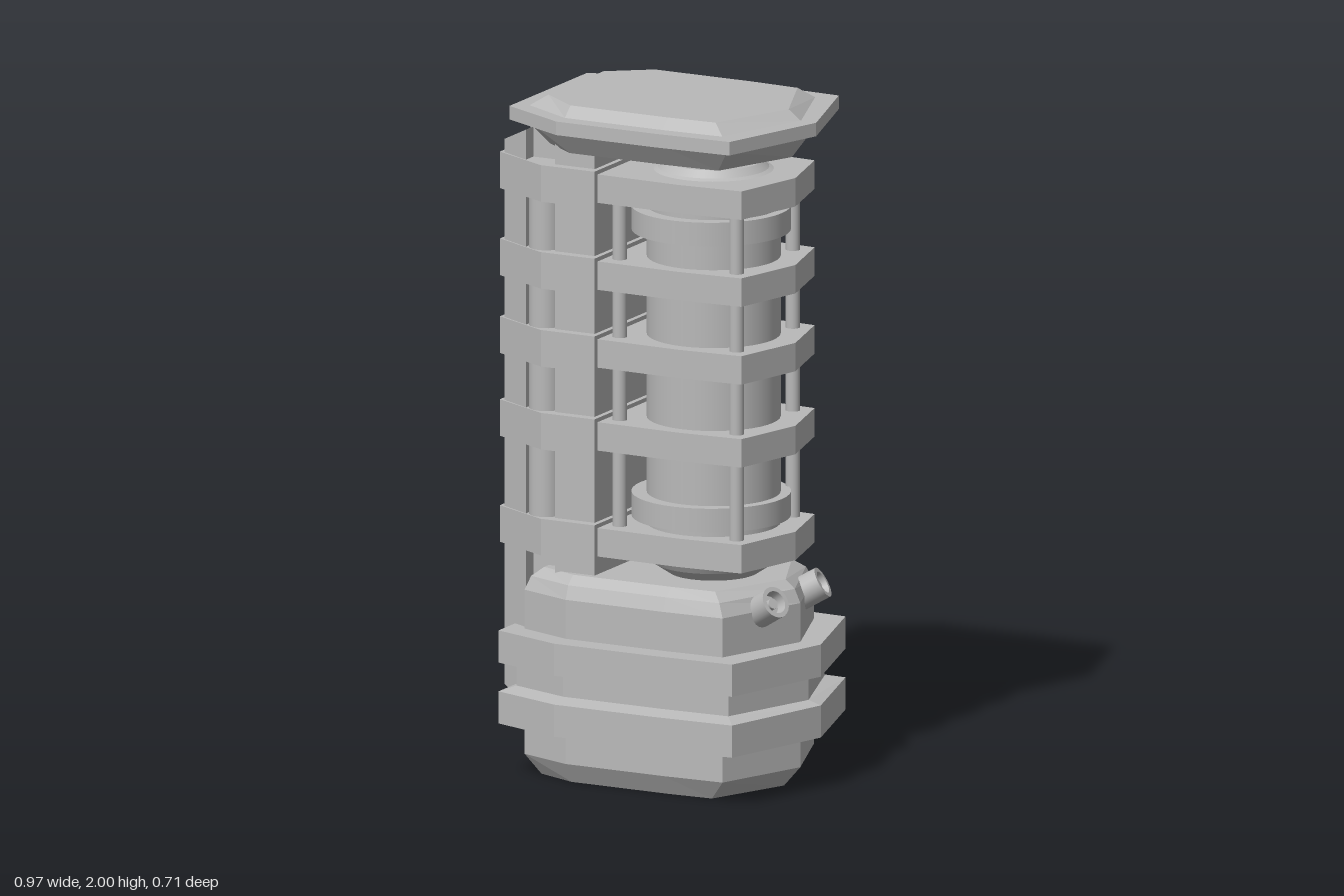
import * as THREE from 'three';

const grey = new THREE.MeshStandardMaterial({ color: 0xb9b9b9 });
grey.name = 'plain grey';

// Flat-faced solid through stacked sections [y, halfOutline].
// A half outline runs from front (+x) to back on the +z side: [x, z, optional dy].
function loft(sections) {
  const rings = sections.map(([y, half]) => {
    const mirrored = half.filter(p => p[1] > 0).reverse().map(([x, z, dy]) => [x, -z, dy]);
    return [...half, ...mirrored].map(([x, z, dy = 0]) => new THREE.Vector3(x, y + dy, z));
  });
  const n = rings[0].length, tris = [];
  for (let k = 0; k + 1 < rings.length; k++) {
    for (let i = 0; i < n; i++) {
      const j = (i + 1) % n, lo = rings[k], hi = rings[k + 1];
      tris.push(lo[i], hi[i], hi[j], lo[i], hi[j], lo[j]);
    }
  }
  const bottom = rings[0], top = rings[rings.length - 1];
  for (let i = 1; i < n - 1; i++) {
    tris.push(top[0], top[i + 1], top[i], bottom[0], bottom[i], bottom[i + 1]);
  }
  const geometry = new THREE.BufferGeometry().setFromPoints(tris);
  geometry.computeVertexNormals();
  return geometry;
}

// Seven-sided plan: pointed front, near-straight sides, tapered back
const plan = (back, tip, halfDepth, taper = 0.8) => [
  [tip, 0], [tip - 0.105, halfDepth * 0.97], [0.12, halfDepth],
  [-0.2, halfDepth], [back, halfDepth * taper]
];

// Smooth lathe with hard corners: every profile segment gets its own lathe
function turned(name, profile, segments = 40) {
  const group = new THREE.Group();
  group.name = name;
  for (let i = 0; i + 1 < profile.length; i++) {
    const pts = [profile[i], profile[i + 1]].map(p => new THREE.Vector2(...p));
    const part = new THREE.Mesh(new THREE.LatheGeometry(pts, segments), grey);
    part.name = name + 'Face';
    group.add(part);
  }
  return group;
}

export function createModel() {
  const model = new THREE.Group();
  model.name = 'cagedCanister';
  const add = (name, geometry, x = 0, y = 0, z = 0) => {
    const mesh = new THREE.Mesh(geometry, grey);
    mesh.name = name;
    mesh.position.set(x, y, z);
    model.add(mesh);
    return mesh;
  };

  // Base core with chamfered foot and rounded shoulder
  add('baseCore', loft([
    [0, plan(-0.325, 0.36, 0.25)],
    [0.06, plan(-0.365, 0.413, 0.285)],
    [0.545, plan(-0.365, 0.413, 0.285)],
    [0.585, plan(-0.35, 0.395, 0.27)],
    [0.61, plan(-0.32, 0.365, 0.24)]
  ]));

  // Two heavy bands joined by a narrow waist
  const wide = plan(-0.42, 0.48, 0.355), waist = plan(-0.385, 0.44, 0.3);
  add('baseBands', loft([
    [0.155, wide], [0.25, wide], [0.262, waist],
    [0.323, waist], [0.335, wide], [0.43, wide]
  ]));

  // Lid: flared underside, thin rim, bevelled top plate
  const rim = plan(-0.412, 0.465, 0.342, 0.68);
  add('lid', loft([
    [1.86, plan(-0.31, 0.386, 0.26, 0.68)],
    [1.93, plan(-0.37, 0.44, 0.31, 0.68)],
    [1.93, rim], [1.97, rim],
    [1.97, plan(-0.365, 0.415, 0.29, 0.68)],
    [2, plan(-0.32, 0.375, 0.256, 0.65)]
  ]));

  // Spine: sloped back slab, recessed middle and front post
  const slab = (drop) => [[-0.37, 0.21], [-0.47, 0.155, drop]];
  add('spineBack', loft([[0.2, slab(0.04)], [1.9, slab(-0.05)]]));
  const box = (x1, x0, z) => [[x1, z], [x0, z]];
  const core = box(-0.26, -0.38, 0.165), post = box(-0.14, -0.27, 0.22);
  add('spineCore', loft([[0.2, core], [1.9, core]]));
  add('spinePost', loft([[0.6, post], [1.89, post]]));

  // Cage rings around the canister, with taller clamps around the spine
  const ringPlan = [[0.397, 0], [0.34, 0.222], [0.14, 0.236], [-0.13, 0.23]];
  const clampPlan = [[-0.125, 0.25], [-0.3, 0.25], [-0.485, 0.155]];
  for (const y of [1.757, 1.5, 1.27, 1.025, 0.712]) {
    add('cageRing', loft([[y - 0.042, ringPlan], [y + 0.042, ringPlan]]));
    add('spineClamp', loft([[y - 0.054, clampPlan], [y + 0.054, clampPlan]]));
  }

  // Canister with domed ends
  const canister = turned('canister', [
    [0, 0.605], [0.13, 0.61], [0.175, 0.64], [0.193, 0.67], [0.193, 1.79],
    [0.16, 1.805], [0.14, 1.825], [0, 1.825]
  ]);
  canister.position.x = 0.13;
  model.add(canister);

  // Canister collars
  for (const y of [0.81, 1.655]) {
    add('canisterCollar', new THREE.CylinderGeometry(0.23, 0.23, 0.07, 40), 0.122, y, 0);
  }

  for (const side of [1, -1]) {
    // Cage rods and spine pipe
    for (const [x, z] of [[0.297, 0.17], [-0.085, 0.17]]) {
      add('cageRod', new THREE.CylinderGeometry(0.021, 0.021, 1.1, 16), x, 1.235, side * z);
    }
    add('spinePipe', new THREE.CylinderGeometry(0.05, 0.05, 1.1, 20), -0.32, 1.235, side * 0.18);

    // Hollow nozzle on the sloping front facet
    const nozzle = turned('nozzle', [
      [0.047, -0.1], [0.047, 0], [0.034, 0], [0.03, -0.03],
      [0.016, -0.03], [0.016, -0.012], [0, -0.012]
    ], 24);
    const axis = new THREE.Vector3(0.82, 0.5, side * 0.26).normalize();
    nozzle.quaternion.setFromUnitVectors(new THREE.Vector3(0, 1, 0), axis);
    nozzle.position.set(0.41, 0.577, side * 0.143);
    model.add(nozzle);
  }
  return model;
}
